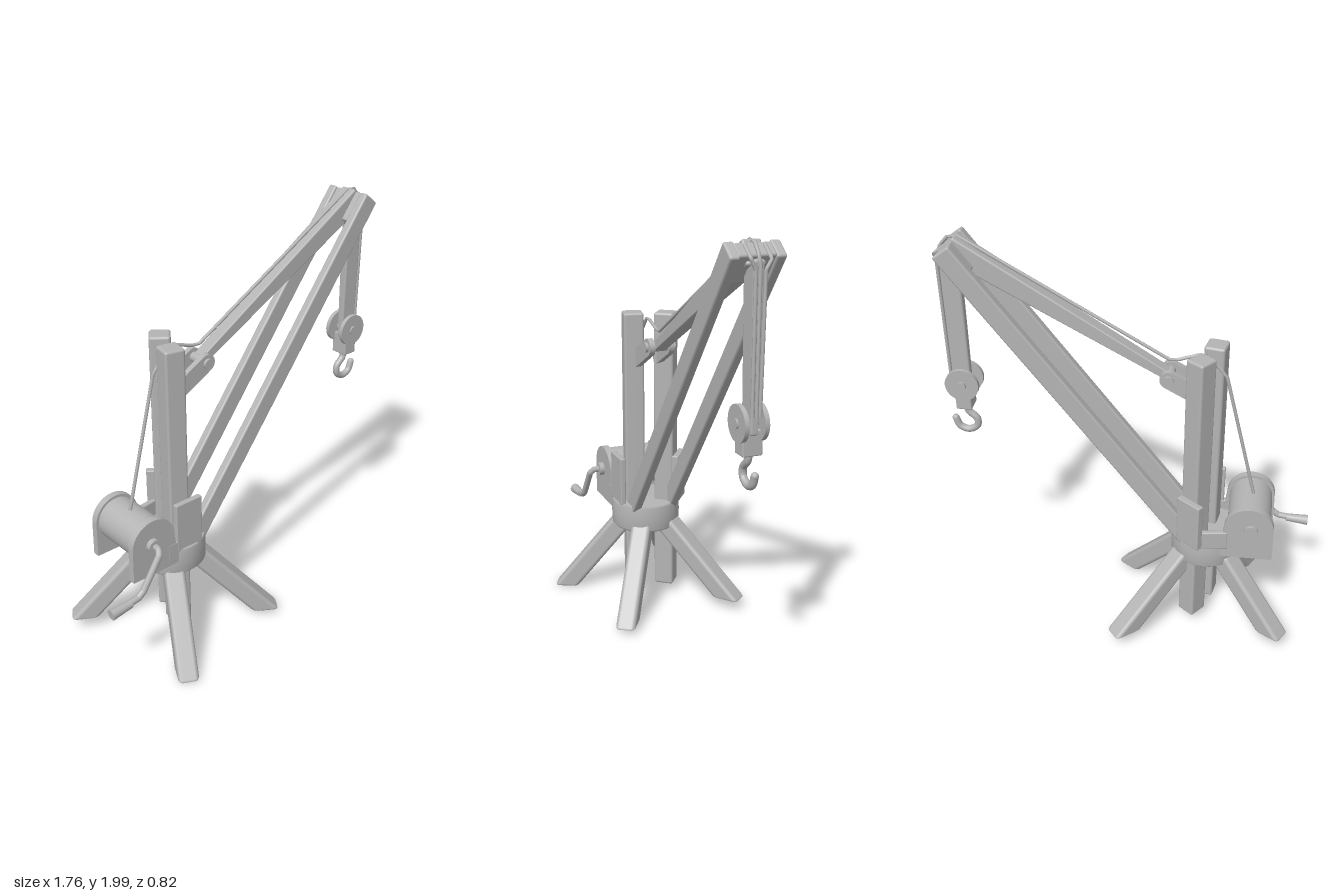
import * as THREE from 'three';
import { RoundedBoxGeometry } from 'three/addons/geometries/RoundedBoxGeometry.js';

const V = (x, y, z) => new THREE.Vector3(x, y, z);
const MID = -0.035; // depth of the crane's centre plane

export function createModel() {
  const crane = new THREE.Group();
  crane.name = 'crane';
  const grey = new THREE.MeshStandardMaterial({ color: 0xb4b4b4 });
  grey.name = 'plainGrey';

  const add = (name, geometry, x = 0, y = 0, z = 0) => {
    const mesh = new THREE.Mesh(geometry, grey);
    mesh.name = name;
    mesh.position.set(x, y, z);
    crane.add(mesh);
    return mesh;
  };
  const box = (name, w, h, d, x, y, z, turn = 0, r = 0.006) => {
    const mesh = add(name, new RoundedBoxGeometry(w, h, d, 2, r), x, y, z);
    mesh.rotation.y = turn;
    return mesh;
  };
  // Cylinder lying along z between two depths
  const axle = (name, r, x, y, z0, z1, sides = 24) => {
    const g = new THREE.CylinderGeometry(r, r, Math.abs(z1 - z0), sides).rotateX(Math.PI / 2);
    return add(name, g, x, y, (z0 + z1) / 2);
  };
  // Timber from a to b: w in the bending plane, d along side; taper scales the start, level cuts ends flat
  const beam = (name, a, b, w, d, side, { taper = [1, 1], level = false, r = 0.01 } = {}) => {
    const Y = b.clone().sub(a);
    const len = Y.length();
    Y.normalize();
    const X = Y.clone().cross(side).normalize();
    const Z = X.clone().cross(Y);
    const g = new RoundedBoxGeometry(w, len, d, 2, r);
    const p = g.attributes.position;
    for (let i = 0; i < p.count; i++) {
      const t = Math.min(1, Math.max(0, p.getY(i) / len + 0.5));
      const x = p.getX(i) * (taper[0] + (1 - taper[0]) * t);
      const z = p.getZ(i) * (taper[1] + (1 - taper[1]) * t);
      const shift = level ? -(x * X.y + z * Z.y) / Y.y : 0;
      p.setXYZ(i, x, p.getY(i) + shift, z);
    }
    const c = a.clone().add(b).multiplyScalar(0.5);
    g.applyMatrix4(new THREE.Matrix4().makeBasis(X, Y, Z).setPosition(c));
    return add(name, g);
  };
  // Round line through straight segments
  const line = (name, pts, r, sides = 8) => {
    const path = new THREE.CurvePath();
    for (let i = 1; i < pts.length; i++) path.add(new THREE.LineCurve3(pts[i - 1], pts[i]));
    return add(name, new THREE.TubeGeometry(path, 60, r, sides));
  };
  const zAxis = V(0, 0, 1);

  // Base collar, slightly rounded at the rims
  const collar = [[0, 0.39], [0.165, 0.39], [0.174, 0.4], [0.176, 0.46], [0.174, 0.52], [0.167, 0.53], [0, 0.53]];
  add('baseCollar', new THREE.LatheGeometry(collar.map(([r, y]) => new THREE.Vector2(r, y)), 32), -0.373, 0, MID);

  // Splayed legs with level feet
  const legs = [
    [V(-0.58, 0, 0.345), V(-0.435, 0.39, 0.07)],
    [V(0.033, 0.02, 0.22), V(-0.255, 0.39, 0.03)],
    [V(0.01, 0.055, -0.35), V(-0.26, 0.39, -0.13)],
    [V(-0.735, 0.065, -0.28), V(-0.48, 0.39, -0.13)],
  ];
  for (const [foot, top] of legs) {
    const dir = top.clone().sub(foot);
    const end = top.clone().addScaledVector(dir, 0.15);
    beam('leg', foot, end, 0.098, 0.1, dir.clone().cross(V(0, 1, 0)), { level: true, r: 0.02 });
  }

  // Twin posts and their cheek plates
  const turnB = -0.66;
  box('frontPost', 0.098, 1.46, 0.1, -0.377, 0.78, 0.025, -0.2, 0.012);
  box('backPost', 0.098, 1.46, 0.1, -0.318, 0.78, -0.128, turnB, 0.012);
  box('frontPostPlate', 0.15, 0.25, 0.028, -0.372, 0.648, 0.113);
  box('backPostPlate', 0.14, 0.25, 0.035, -0.295, 0.648, -0.19, turnB);

  // Long paired boom struts and the block joining their tips
  const low = V(-0.3, 0.5, 0), tip = V(0.806, 1.957, 0);
  for (const z of [0.062, -0.138]) {
    beam('boomStrut', V(low.x, low.y, z), V(tip.x, tip.y, z), 0.094, 0.045, zAxis);
  }
  const along = tip.clone().sub(low).normalize();
  const at = (s) => tip.clone().addScaledVector(along, -s).setZ(MID);
  beam('tipBlock', at(0.15), at(0), 0.075, 0.17, zAxis);

  // Tapered upper jib, pinned between two link plates
  beam('upperJib', V(-0.18, 1.365, MID), V(0.8, 1.945, MID), 0.11, 0.085, zAxis, { taper: [0.35, 0.75] });
  const link = new THREE.Shape();
  link.moveTo(-0.2, -0.042);
  link.lineTo(0, -0.042);
  link.absarc(0, 0, 0.042, -Math.PI / 2, Math.PI / 2);
  link.lineTo(-0.2, 0.042);
  for (const z of [0.015, -0.085]) {
    const g = new THREE.ExtrudeGeometry(link, { depth: 0.028, bevelEnabled: false, curveSegments: 10 });
    g.translate(0, 0, -0.014);
    add('linkPlate', g, -0.172, 1.372, z).rotation.z = 0.5;
  }
  axle('linkPin', 0.024, -0.172, 1.372, 0.042, -0.112, 16);

  // Winch cheeks: round head on a square foot
  const cheek = new THREE.Shape();
  cheek.moveTo(-0.12, -0.17);
  cheek.lineTo(0.14, -0.17);
  cheek.lineTo(0.118, 0);
  cheek.absarc(0, 0, 0.118, 0, Math.PI);
  for (const z of [0.108, -0.178]) {
    const g = new THREE.ExtrudeGeometry(cheek, { depth: 0.034, bevelEnabled: false, curveSegments: 20 });
    g.translate(0, 0, -0.017);
    add('winchCheek', g, -0.58, 0.635, z);
  }
  box('frontCheekArm', 0.1, 0.1, 0.028, -0.45, 0.53, 0.112);
  box('backCheekArm', 0.16, 0.1, 0.028, -0.4, 0.56, -0.195, 0.15);
  axle('winchDrum', 0.105, -0.58, 0.635, 0.1, -0.17, 32);
  axle('winchHub', 0.034, -0.59, 0.63, 0.15, -0.21, 20);

  // Crank arm and tapered grip
  line('crankArm', [
    V(-0.59, 0.63, 0.12), V(-0.59, 0.63, 0.175), V(-0.603, 0.61, 0.192),
    V(-0.7, 0.465, 0.196), V(-0.73, 0.443, 0.196), V(-0.79, 0.435, 0.196),
  ], 0.016, 10);
  const grip = new THREE.CylinderGeometry(0.026, 0.019, 0.11, 16).rotateZ(Math.PI / 2);
  add('crankGrip', grip, -0.825, 0.428, 0.196).rotation.z = 0.08;

  // Hoisting rope from the drum over the jib tip
  line('hoistRope', [
    V(-0.59, 0.74, MID), V(-0.43, 1.38, MID), V(-0.33, 1.49, MID), V(-0.18, 1.44, MID),
    V(0.77, 1.992, MID), V(0.8, 1.985, MID), V(0.857, 1.92, MID), V(0.857, 1.3, MID),
  ], 0.008);
  for (const z of [0.002, -0.084]) {
    line('sideRope', [V(0.79, 1.97, z), V(0.855, 1.92, z), V(0.855, 1.88, MID + (z - MID) * 0.5),
      V(0.85, 1.3, MID + (z - MID) * 0.4)], 0.008);
  }
  // Flat bundle of falls carrying the hook block
  beam('ropeFalls', V(0.803, 1.22, MID), V(0.803, 1.92, MID), 0.09, 0.05, zAxis, { taper: [1, 0.65] });

  // Hook block: two pulley discs, pin, body
  for (const z of [0.012, -0.078]) axle('pulleyDisc', 0.08, 0.795, 1.265, z + 0.01, z - 0.01, 32);
  axle('pulleyPin', 0.022, 0.795, 1.265, 0.03, -0.1, 16);
  box('hookBody', 0.075, 0.11, 0.09, 0.797, 1.185, MID);

  // Hook
  const hookPath = new THREE.CatmullRomCurve3([
    V(0.797, 1.14, MID), V(0.79, 1.1, MID), V(0.752, 1.06, MID), V(0.753, 1.02, MID),
    V(0.795, 0.995, MID), V(0.838, 1.01, MID), V(0.857, 1.055, MID),
  ]);
  add('hook', new THREE.TubeGeometry(hookPath, 40, 0.017, 12));
  add('hookTip', new THREE.SphereGeometry(0.017, 12, 8), 0.857, 1.055, MID);

  return crane;
}
